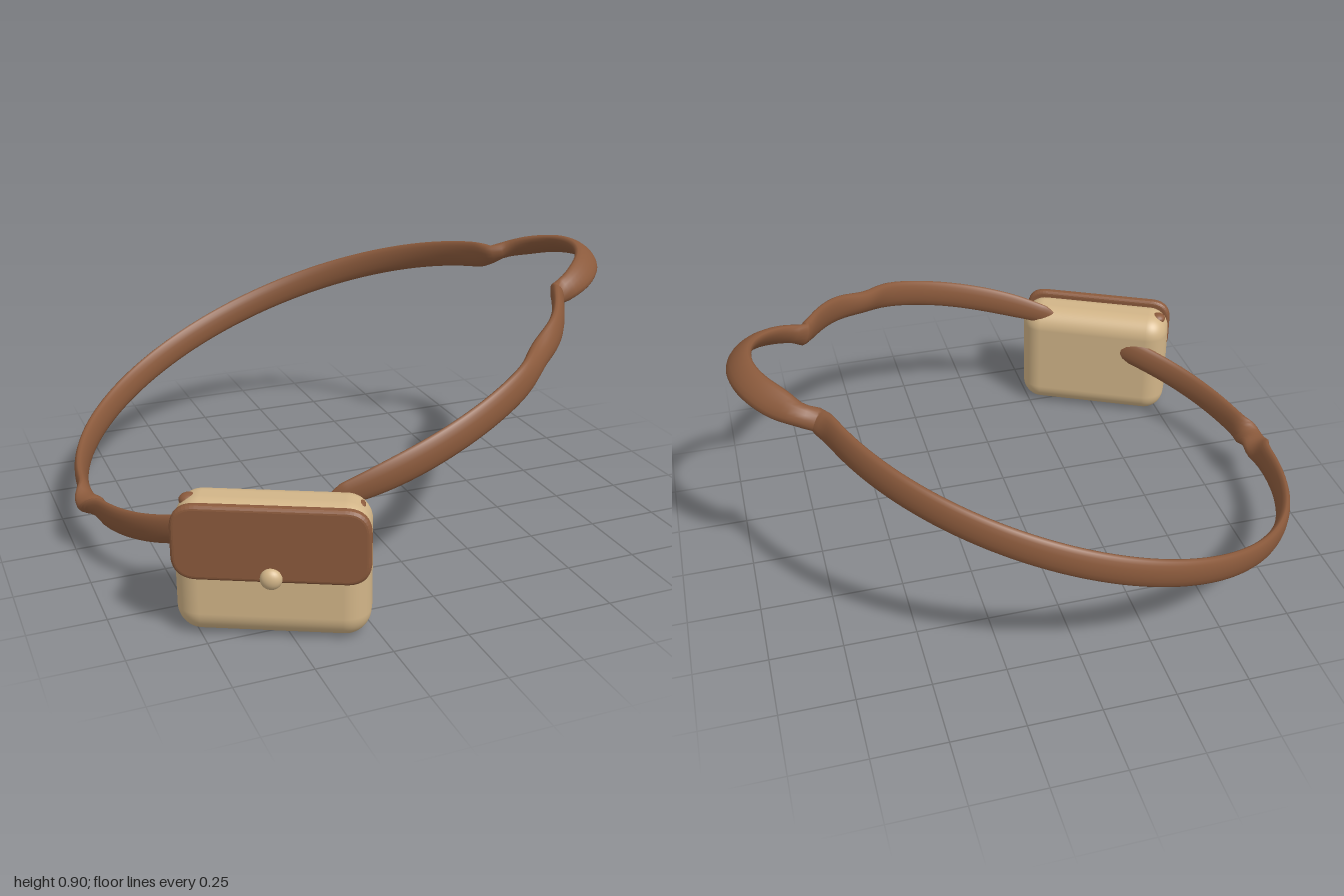
import * as THREE from 'three';
import { RoundedBoxGeometry } from 'three/addons/geometries/RoundedBoxGeometry.js';

// Local changes along the strap, by angle in degrees round the loop
const FOLDS = [
  { at: 128, spread: 14, width: 0, thick: 0, radius: -0.016, tilt: 0 }, // entry behind the pouch
  { at: 174.6, spread: 4, width: -0.01, thick: 0.015, radius: 0.006, tilt: -1.35 }, // side knot
  { at: 345, spread: 3, width: -0.03, thick: 0.015, radius: 0.018, tilt: 0.3 }, // shoulder, back
  { at: 380, spread: 4, width: -0.02, thick: 0.005, radius: 0.006, tilt: 0 }, // shoulder, front
  { at: 408, spread: 7, width: -0.012, thick: 0.015, radius: -0.018, tilt: 0.15 }, // overlap
  { at: 468, spread: 10, width: -0.03, thick: -0.01, radius: 0, tilt: 0 }, // entry into the pouch
];
const START = 123, END = 468;

const fold = (deg, key) => FOLDS.reduce(
  (sum, f) => sum + f[key] * Math.exp(-(((deg - f.at) / f.spread) ** 2)), 0);

// Outward bulge over the shoulder, 0 to 1
const shoulder = deg => Math.max(0, 1 - ((deg - 362) / 18) ** 2) ** 0.85;

// The strap runs round a circle lying in a sloping, slightly domed plane
function strapPoint(deg) {
  const a = THREE.MathUtils.degToRad(deg);
  const r = 0.849 + 0.012 * Math.cos(a + 0.35) + 0.19 * shoulder(deg) + fold(deg, 'radius');
  const x = -0.1 + r * Math.cos(a);
  return new THREE.Vector3(x, 0.535 + 0.37 * x - 0.016 * x * x, -0.067 + r * Math.sin(a));
}

// Lofts a lens-shaped band along the strap
function strapGeometry(steps = 345, sides = 16) {
  const up = new THREE.Vector3(0, 1, 0);
  const pos = [], index = [];
  for (let i = 0; i <= steps; i++) {
    const deg = THREE.MathUtils.lerp(START, END, i / steps);
    const bulge = shoulder(deg);
    const tilt = 0.2 * Math.cos(deg * Math.PI / 180) + 0.7 * Math.sqrt(bulge) + fold(deg, 'tilt');
    // Rounded ends
    const end = Math.max(0.02, Math.min(1, Math.sqrt(Math.min(deg - START, END - deg) / 4)));
    const w = (0.105 + fold(deg, 'width')) * end / 2;
    const d = (0.042 + 0.004 * bulge + fold(deg, 'thick')) * end / 2;

    const centre = strapPoint(deg);
    const along = strapPoint(deg + 0.7).sub(strapPoint(deg - 0.7)).normalize();
    const inward = new THREE.Vector3().crossVectors(along, up).normalize();
    const across = new THREE.Vector3().crossVectors(inward, along)
      .multiplyScalar(Math.cos(tilt)).addScaledVector(inward, Math.sin(tilt));
    const thick = new THREE.Vector3().crossVectors(along, across);
    for (let j = 0; j < sides; j++) {
      const a = j / sides * Math.PI * 2;
      const p = centre.clone()
        .addScaledVector(across, Math.cos(a) * w)
        .addScaledVector(thick, Math.sin(a) * d);
      pos.push(p.x, p.y, p.z);
      if (i < steps) {
        const A = i * sides + j, B = i * sides + (j + 1) % sides;
        index.push(A, B, A + sides, B, B + sides, A + sides);
      }
    }
  }
  const g = new THREE.BufferGeometry();
  g.setAttribute('position', new THREE.Float32BufferAttribute(pos, 3));
  g.setIndex(index);
  g.computeVertexNormals();
  return g;
}

// Rounded plate with softened edges, centred on the origin
function plateGeometry(w, h, r, depth, bevel) {
  const x = w / 2 - bevel, y = h / 2 - bevel;
  const s = new THREE.Shape();
  s.moveTo(-x + r, -y);
  s.lineTo(x - r, -y);
  s.quadraticCurveTo(x, -y, x, -y + r);
  s.lineTo(x, y - r);
  s.quadraticCurveTo(x, y, x - r, y);
  s.lineTo(-x + r, y);
  s.quadraticCurveTo(-x, y, -x, y - r);
  s.lineTo(-x, -y + r);
  s.quadraticCurveTo(-x, -y, -x + r, -y);
  const g = new THREE.ExtrudeGeometry(s, {
    depth: depth - 2 * bevel, bevelEnabled: true, bevelSize: bevel,
    bevelThickness: bevel, bevelSegments: 4, curveSegments: 10,
  });
  return g.translate(0, 0, bevel - depth / 2);
}

export function createModel() {
  const leather = new THREE.MeshStandardMaterial({ color: 0x8b5a3c });
  leather.name = 'brown leather';
  const canvas = new THREE.MeshStandardMaterial({ color: 0xd2b588 });
  canvas.name = 'tan canvas';

  const model = new THREE.Group();
  model.name = 'shoulderBag';
  const add = (parent, name, geometry, material, x = 0, y = 0, z = 0) => {
    const m = new THREE.Mesh(geometry, material);
    m.name = name;
    m.position.set(x, y, z);
    parent.add(m);
    return m;
  };

  // Pouch, turned to follow the strap
  const pouch = new THREE.Group();
  pouch.name = 'pouch';
  pouch.position.set(-0.522, 0, 0.715);
  pouch.rotation.y = -0.465;
  model.add(pouch);
  add(pouch, 'pouchBody', new RoundedBoxGeometry(0.595, 0.435, 0.2, 8, 0.08), canvas, 0, 0.2225, 0);
  add(pouch, 'flap', plateGeometry(0.6, 0.245, 0.065, 0.036, 0.014), leather, 0.003, 0.325, 0.091);
  add(pouch, 'clasp', new THREE.SphereGeometry(0.034, 24, 16), canvas, 0.005, 0.22, 0.11).scale.z = 0.75;

  // Strap ends poking out of the pouch
  const stud = new THREE.SphereGeometry(0.03, 20, 12);
  add(pouch, 'strapEndLeft', stud, leather, 0.262, 0.415, -0.01).scale.set(0.5, 0.4, 0.9);
  add(pouch, 'strapEndRight', stud, leather, -0.255, 0.418, 0).scale.y = 0.7;

  add(model, 'strap', strapGeometry(), leather);
  return model;
}
